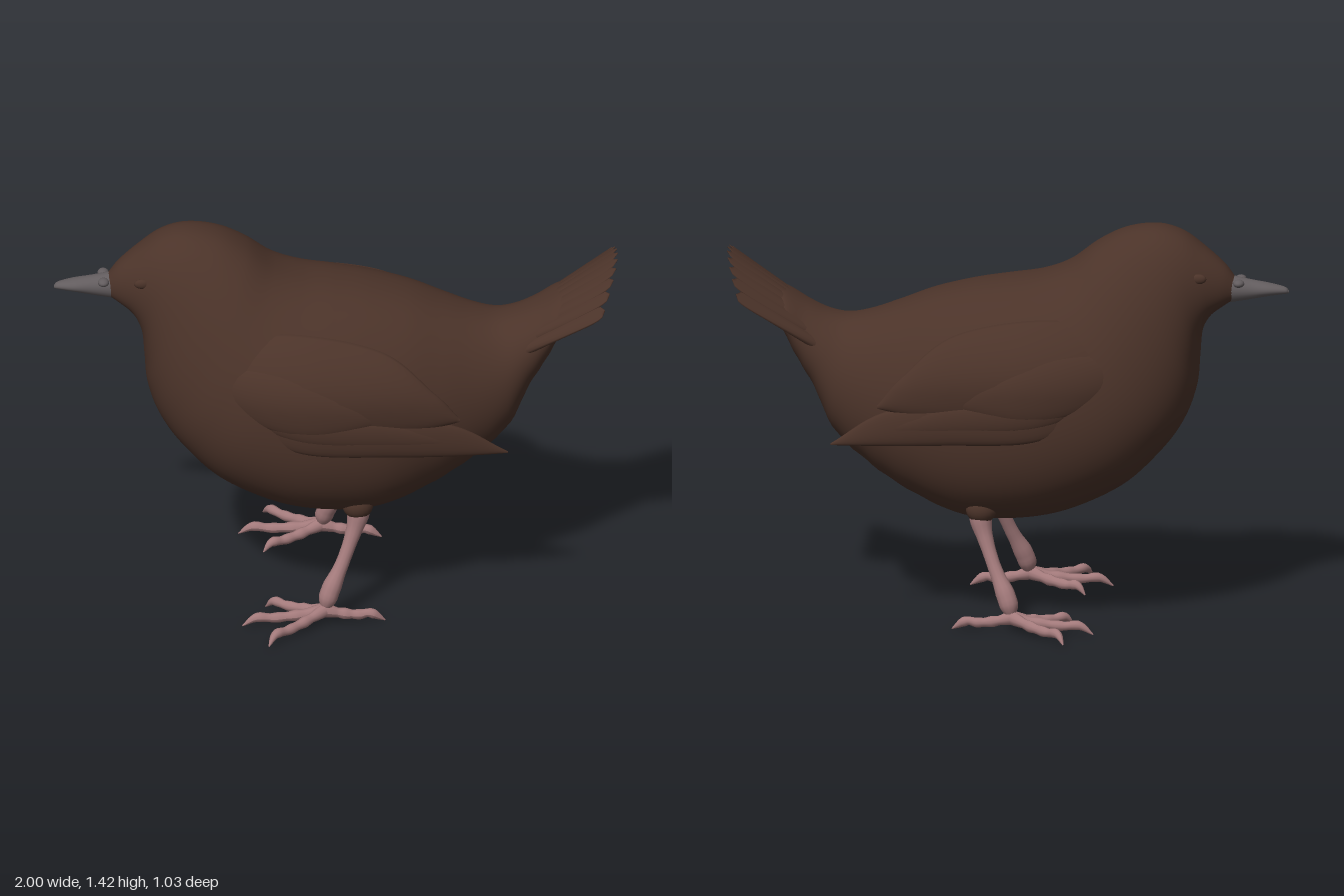
import * as THREE from 'three';
import { ParametricGeometry } from 'three/addons/geometries/ParametricGeometry.js';

const plumage = new THREE.MeshStandardMaterial({ color: 0x4b3329 });
plumage.name = 'brown plumage';
const horn = new THREE.MeshStandardMaterial({ color: 0x625c5e });
horn.name = 'grey beak';
const skin = new THREE.MeshStandardMaterial({ color: 0xa37a7b });
skin.name = 'pink legs';

const TAU = Math.PI * 2;
const V = (x, y, z = 0) => new THREE.Vector3(x, y, z);
const spline = pts => new THREE.CatmullRomCurve3(pts.map(p => V(...p)), false, 'catmullrom', 0.5);

function add(parent, name, geometry, material) {
  const mesh = new THREE.Mesh(geometry, material);
  mesh.name = name;
  parent.add(mesh);
  return mesh;
}

// Closed form swept between a top and a bottom line; z of the top line is the half width.
// The lower half can be squarer than the upper half.
function loft(top, bottom, nu, nv, upperPower, lowerPower, pear) {
  const a = spline(top), b = spline(bottom), p = V(0, 0), q = V(0, 0);
  return new ParametricGeometry((u, v, out) => {
    a.getPoint(u, p);
    b.getPoint(u, q);
    const s = Math.sin(v * TAU), c = Math.cos(v * TAU), k = (1 + s) / 2;
    // faint rows of feathers under the tail
    const ripple = s < 0 && u > 0.6 ? s * Math.sin(u * 170) * Math.min(1, (u - 0.6) * 8) : 0;
    const z = Math.sign(c) * Math.pow(Math.abs(c), s > 0 ? upperPower : lowerPower) * p.z * (1 - pear * s);
    out.set(q.x + (p.x - q.x) * k, q.y + (p.y - q.y) * k + ripple * pear * 0.03, z);
  }, nu, nv);
}

// Tube whose radius follows a list of values
function taperedTube(pts, radii, segments = 28, sides = 12) {
  const curve = spline(pts);
  const geo = new THREE.TubeGeometry(curve, segments, 1, sides);
  const pos = geo.attributes.position, p = V(0, 0);
  for (let i = 0; i <= segments; i++) {
    const c = curve.getPointAt(i / segments);
    const t = i / segments * (radii.length - 1), j = Math.min(Math.floor(t), radii.length - 2);
    const r = THREE.MathUtils.lerp(radii[j], radii[j + 1], t - j);
    for (let k = 0; k <= sides; k++) {
      const n = i * (sides + 1) + k;
      p.fromBufferAttribute(pos, n).sub(c).multiplyScalar(r).add(c);
      pos.setXYZ(n, p.x, p.y, p.z);
    }
  }
  geo.computeVertexNormals();
  return geo;
}

// Flat feather with a rounded tip
function feather(base, tip, side, width, thick) {
  const d = tip.clone().sub(base).normalize();
  const s = side.clone().addScaledVector(d, -side.dot(d)).normalize();
  const n = s.clone().cross(d);
  return new ParametricGeometry((u, v, out) => {
    const w = width * (0.6 + 0.4 * u) * Math.sqrt(Math.max(0.002, 1 - Math.pow(u, 14)));
    out.lerpVectors(base, tip, u)
      .addScaledVector(s, w * Math.cos(v * TAU))
      .addScaledVector(n, thick * (1.1 - u) * Math.sin(v * TAU));
  }, 24, 12);
}

// Folded wing layer hugging the flank, between an upper and a lower edge
function wingLayer(upper, lower, lift, bulge, side) {
  const a = spline(upper), b = spline(lower), p = V(0, 0), q = V(0, 0);
  return new ParametricGeometry((u, v, out) => {
    const ang = (side > 0 ? v : 1 - v) * TAU;
    a.getPoint(u, p);
    b.getPoint(u, q);
    out.lerpVectors(q, p, (1 + Math.sin(ang)) / 2);
    const dx = out.x + 0.05, high = Math.max(0, out.y - 0.88);
    const flank = 0.39 - (dx < 0 ? 0.65 : 0.22) * dx * dx - 1.7 * high * high;
    const round = Math.sqrt(Math.max(0.002, Math.sin(Math.PI * u)));
    out.z = side * (flank + lift + bulge * round * Math.cos(ang));
  }, 40, 24);
}

export function createModel() {
  const bird = new THREE.Group();
  bird.name = 'bird';

  // Head, trunk and undertail in one smooth form: [x, y, half width] above, [x, y] below
  const top = [
    [-0.81, 1.235, 0.035], [-0.77, 1.285, 0.07], [-0.70, 1.345, 0.112], [-0.62, 1.40, 0.15],
    [-0.53, 1.422, 0.19], [-0.42, 1.405, 0.235], [-0.32, 1.355, 0.285], [-0.22, 1.28, 0.337],
    [-0.12, 1.24, 0.375], [0, 1.22, 0.39], [0.12, 1.20, 0.38], [0.26, 1.165, 0.35],
    [0.38, 1.12, 0.295], [0.48, 1.085, 0.24], [0.56, 1.07, 0.195], [0.63, 1.08, 0.165],
    [0.70, 1.11, 0.145], [0.78, 1.155, 0.13], [0.84, 1.185, 0.02]];
  const bottom = [
    [-0.81, 1.16], [-0.77, 1.135], [-0.72, 1.095], [-0.69, 1.03], [-0.68, 0.93], [-0.67, 0.83],
    [-0.63, 0.72], [-0.55, 0.61], [-0.42, 0.49], [-0.22, 0.395], [-0.03, 0.36], [0.15, 0.37],
    [0.33, 0.445], [0.48, 0.54], [0.61, 0.66], [0.68, 0.81], [0.75, 0.93], [0.80, 1.04], [0.85, 1.165]];
  add(bird, 'body', loft(top, bottom, 110, 64, 0.85, 0.74, 0.08), plumage);

  // Beak with a slightly hooked tip
  add(bird, 'beak', loft(
    [[-1, 1.192, 0.005], [-0.985, 1.205, 0.018], [-0.93, 1.218, 0.034], [-0.86, 1.23, 0.038], [-0.76, 1.25, 0.05]],
    [[-1, 1.183], [-0.985, 1.18], [-0.93, 1.172], [-0.86, 1.158], [-0.76, 1.14]], 30, 24, 1, 1, 0), horn);

  // Arched fan of tail feathers
  const tail = new THREE.Group();
  tail.name = 'tail';
  bird.add(tail);
  for (let i = -5; i <= 5; i++) {
    const t = i / 5, sq = t * t;
    const base = V(0.60 + 0.04 * sq, 1.01 - 0.04 * sq, 0.125 * t);
    const tip = V(0.995 - 0.05 * sq, 1.30 - 0.12 * sq, 0.207 * t);
    add(tail, 'tailFeather', feather(base, tip, V(0, -0.75 * t, 1), 0.035, 0.018), plumage);
  }

  // Wing layers: upper edge, lower edge, lift off the flank, bulge
  const layers = [
    ['primaries', [[-0.3, 0.86], [0.1, 0.86], [0.4, 0.80], [0.6, 0.668]],
      [[-0.38, 0.82], [-0.15, 0.715], [0.2, 0.69], [0.6, 0.662]], 0, 0.022],
    ['secondaries', [[-0.4, 0.93], [-0.1, 0.87], [0.2, 0.83], [0.5, 0.72]],
      [[-0.4, 0.86], [-0.15, 0.76], [0.15, 0.73], [0.5, 0.71]], 0.006, 0.02],
    ['scapulars', [[-0.5, 1.04], [-0.2, 1.13], [0.15, 1.08], [0.34, 0.93], [0.43, 0.82]],
      [[-0.48, 0.95], [-0.25, 0.85], [0.05, 0.80], [0.28, 0.79], [0.43, 0.81]], 0, 0.028],
    ['coverts', [[-0.46, 1.01], [-0.2, 1.03], [0.02, 0.95], [0.16, 0.86]],
      [[-0.46, 0.92], [-0.3, 0.82], [-0.08, 0.78], [0.16, 0.83]], 0.01, 0.024]];

  for (const side of [1, -1]) {
    const label = side > 0 ? 'left' : 'right';
    const at = pts => pts.map(([x, y, z]) => [x, y, z * side]);

    const wing = new THREE.Group();
    wing.name = label + 'Wing';
    bird.add(wing);
    for (const [name, up, low, lift, bulge] of layers)
      add(wing, name, wingLayer(up, low, lift, bulge, side), plumage);

    // Beak root swelling and closed eyelid
    const root = add(bird, label + 'BeakRoot', new THREE.SphereGeometry(1, 16, 12), horn);
    root.scale.set(0.02, 0.014, 0.024);
    root.position.set(-0.825, 1.222, side * 0.038);
    const eye = add(bird, label + 'Eyelid', new THREE.SphereGeometry(1, 16, 12), plumage);
    eye.scale.set(0.028, 0.018, 0.012);
    eye.position.set(-0.69, 1.255, side * 0.117);

    // Leg and foot
    const leg = new THREE.Group();
    leg.name = label + 'Leg';
    bird.add(leg);
    const thigh = add(leg, 'thigh', new THREE.SphereGeometry(1, 20, 14), plumage);
    thigh.scale.set(0.055, 0.05, 0.045);
    thigh.position.set(0.07, 0.425, side * 0.232);
    add(leg, 'shank', taperedTube(
      at([[0.08, 0.44, 0.22], [0.066, 0.36, 0.235], [0.02, 0.23, 0.275], [-0.03, 0.12, 0.312], [-0.05, 0.04, 0.325]]),
      [0.036, 0.04, 0.03, 0.025, 0.024, 0.026, 0.034, 0.034, 0.004]), skin);
    const toes = [
      ['outerToe', [-0.225, 0.475], [-0.25, 0.512]],
      ['middleToe', [-0.29, 0.345], [-0.34, 0.35]],
      ['innerToe', [-0.225, 0.222], [-0.255, 0.205]],
      ['hindToe', [0.115, 0.318], [0.166, 0.315]]];
    for (const [name, [x, z], [tx, tz]] of toes) {
      const mid = k => [-0.05 + (x + 0.05) * k, 0, 0.325 + (z - 0.325) * k];
      const [m, n] = [mid(0.4), mid(0.75)];
      add(leg, name, taperedTube(
        at([[-0.05, 0.055, 0.325], [m[0], 0.04, m[2]], [n[0], 0.034, n[2]], [x, 0.038, z], [tx, 0.008, tz]]),
        [0.026, 0.022, 0.017, 0.021, 0.016, 0.019, 0.015, 0.018, 0.011, 0.002]), skin);
    }
  }
  return bird;
}
